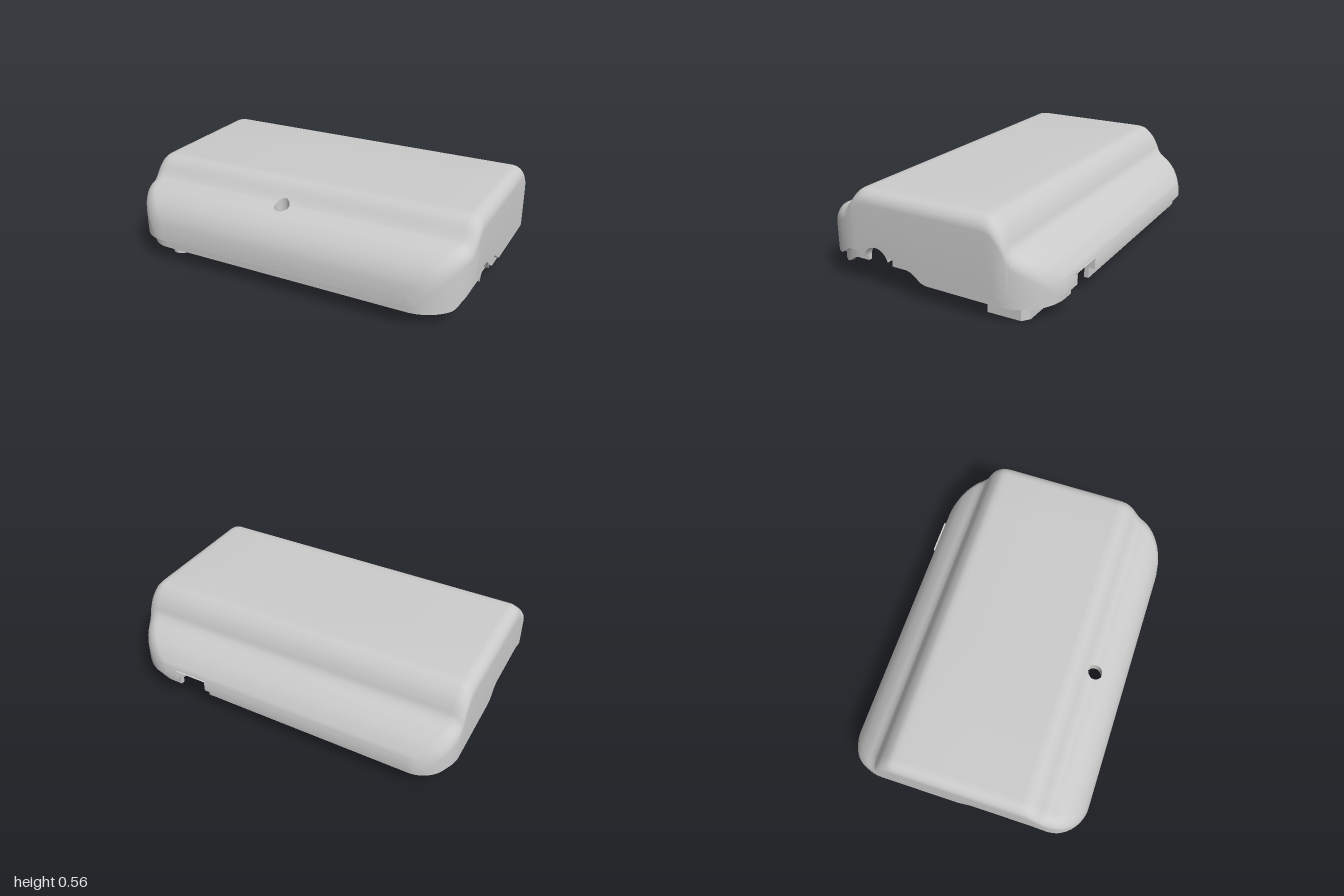
import * as THREE from 'three';
import { toCreasedNormals } from 'three/addons/utils/BufferGeometryUtils.js';

const D = 0.705, EPS = 1e-4, WALL = 0.06;
const HOLE = { x: -0.09, z: 0.51, r: 0.042, s: 0.055 };   // round opening in the front shoulder
const NOTCH = { x0: 0.46, x1: 0.66, y: 0.21 };            // connector notch in the back wall
const mat = new THREE.MeshStandardMaterial({ color: 0xcccccc, side: THREE.DoubleSide });

// piecewise linear lookup in a list of [position, value] sorted by position
function lerpTable(t, p) {
  if (p <= t[0][0]) return t[0][1];
  for (let i = 1; i < t.length; i++) if (p <= t[i][0]) {
    const [a, va] = t[i - 1], [b, vb] = t[i];
    return va + (vb - va) * (p - a) / Math.max(b - a, 1e-9);
  }
  return t[t.length - 1][1];
}

// lower edge of each end wall, as [z, y]
const EDGE_R = [[0, 0.15], [0.03, 0.158], [0.09, 0.202], [0.12, 0.21], [0.45, 0.21], [0.48, 0.202], [0.55, 0.158], [0.58, 0.15]];
const EDGE_L = [[-0.04, 0.15], [-0.01, 0.158], [0.05, 0.21], [0.08, 0.22], [0.08 + EPS, 0.22], [0.42, 0.22], [0.42 + EPS, 0.22], [0.5, 0.202], [0.58, 0.15]];
function baseY(side, z) {
  const d = Math.abs(z - 0.29);
  if (side > 0 && d <= 0.08) return 0.17 + Math.sqrt(0.0064 - d * d);
  return lerpTable(side > 0 ? EDGE_R : EDGE_L, z);
}
const KEYS = [...EDGE_R, ...EDGE_L].map(p => p[0]);
for (let i = 0; i <= 16; i++) KEYS.push(0.29 - 0.08 * Math.cos(i * Math.PI / 16));
KEYS.push(0.21 - EPS, 0.37 + EPS);

// plan outline: rounded rectangle with larger corners on the +x end
const cornerR = side => (side > 0 ? 0.28 : 0.21);
function halfWidth(side, z, inset) {
  const R = cornerR(side) - inset, dz = Math.abs(z) - (D - inset - R);
  return 1 - inset - (dz <= 0 ? 0 : R - Math.sqrt(Math.max(0, R * R - dz * dz)));
}

// side profile from front to back, as (z, y)
function makeProfile() {
  const front = [[D, 0.15], [0.7, 0.21], [0.685, 0.28], [0.65, 0.345], [0.6, 0.395], [0.55, 0.425], [0.5, 0.44],
    [0.47, 0.467], [0.43, 0.517], [0.39, 0.547], [0.35, 0.555]];
  const back = [[-0.35, 0.555], [-0.4, 0.545], [-0.45, 0.5], [-0.48, 0.45], [-0.5, 0.405], [-0.53, 0.375],
    [-0.58, 0.345], [-0.64, 0.295], [-0.685, 0.235], [-0.695, 0.21], [-0.702, 0.18], [-D, 0.15]];
  const pts = [];
  for (const list of [front, back]) {
    const c = new THREE.SplineCurve(list.map(p => new THREE.Vector2(...p)));
    pts.push(...c.getPoints(4 * (list.length - 1)));
  }
  return pts;
}
function offsetProfile(pts, t) {
  return pts.map((p, i) => {
    const a = pts[Math.max(i - 1, 0)], b = pts[Math.min(i + 1, pts.length - 1)];
    const d = b.clone().sub(a).normalize();
    return new THREE.Vector2(p.x - d.y * t, Math.max(0.15, p.y - Math.abs(d.x) * t));
  });
}
const OUTER = makeProfile(), INNER = offsetProfile(OUTER, WALL);
const heightAt = prof => {
  const t = prof.map(p => [p.x, p.y]).sort((a, b) => a[0] - b[0]);
  return z => lerpTable(t, z);
};
const hOuter = heightAt(OUTER), hInner = heightAt(INNER);

// grid of points to a smooth, creased geometry
function gridMesh(name, rows, { flip = false, skip = () => false, crease = 0.55 } = {}) {
  const v = [], tri = (a, b, c) => {
    const n = b.clone().sub(a).cross(c.clone().sub(a));
    if (n.length() > 1e-10) for (const p of flip ? [a, c, b] : [a, b, c]) v.push(p.x, p.y, p.z);
  };
  for (let i = 0; i + 1 < rows.length; i++) for (let j = 0; j + 1 < rows[i].length; j++) {
    const a = rows[i][j], b = rows[i][j + 1], c = rows[i + 1][j + 1], d = rows[i + 1][j];
    if (skip([a, b, c, d])) continue;
    tri(a, b, c); tri(a, c, d);
  }
  const g = new THREE.BufferGeometry();
  g.setAttribute('position', new THREE.Float32BufferAttribute(v, 3));
  const m = new THREE.Mesh(toCreasedNormals(g, crease), mat);
  m.name = name;
  return m;
}

// one skin of the shell: arched sections lofted from front to back
function skin(name, prof, inset, fillet, flip) {
  const h = heightAt(prof), rowsZ = prof.map(p => [p.x, p.y]), end = prof[0].x;
  for (const z of [...KEYS, HOLE.z - HOLE.s, HOLE.z + HOLE.s]) if (Math.abs(z) < end) rowsZ.push([z, h(z)]);
  rowsZ.sort((a, b) => b[0] - a[0]);
  const cols = [HOLE.x - HOLE.s, HOLE.x + HOLE.s, NOTCH.x0, NOTCH.x1];
  const rows = rowsZ.map(([z, y]) => {
    const half = side => {
      const w = halfWidth(side, z, inset), b = Math.min(baseY(side, z), y), r = Math.min(fillet, y - b);
      const out = [new THREE.Vector3(side * w, b, z)];
      for (let k = 0; k <= 7; k++) {
        const a = k / 7 * Math.PI / 2;
        out.push(new THREE.Vector3(side * (w - r + r * Math.cos(a)), y - r + r * Math.sin(a), z));
      }
      return out;
    };
    return [...half(-1), ...cols.map(x => new THREE.Vector3(x, y, z)), ...half(1).reverse()];
  });
  const within = (q, x0, x1) => q.every(p => p.x > x0 - EPS && p.x < x1 + EPS);
  const skip = q => (within(q, HOLE.x - HOLE.s, HOLE.x + HOLE.s) && q.every(p => Math.abs(p.z - HOLE.z) < HOLE.s + EPS))
    || (within(q, NOTCH.x0, NOTCH.x1) && q.every(p => p.z < -0.6 && p.y < NOTCH.y + 0.002));
  return gridMesh(name, rows, { flip, skip });
}

// round hole: collars from the square cut-out to the circle, joined by a tube
function indicatorHole() {
  const ringAt = (square, h) => Array.from({ length: 41 }, (_, i) => {
    const a = i / 40 * Math.PI * 2, c = Math.cos(a), s = Math.sin(a);
    const k = square ? HOLE.s / Math.max(Math.abs(c), Math.abs(s)) : HOLE.r;
    return new THREE.Vector3(HOLE.x + k * c, h(HOLE.z + k * s), HOLE.z + k * s);
  });
  return gridMesh('indicatorHole', [ringAt(true, hOuter), ringAt(false, hOuter), ringAt(false, hInner), ringAt(true, hInner)], { flip: true });
}

// stepped rim and lip swept around the plan outline
function rimLip() {
  const pts = [], add = (x, z, nx, nz) => pts.push({ x, z, nx, nz });
  const corner = (sx, sz, a0) => {
    const R = cornerR(sx);
    for (let k = 0; k <= 16; k++) {
      const a = a0 + k / 16 * Math.PI / 2, c = Math.cos(a), s = Math.sin(a);
      add(sx * (1 - R) + R * c, sz * (D - R) + R * s, c, s);
    }
  };
  const side = (s, dir) => KEYS.filter(z => Math.abs(z) < D - cornerR(s)).sort((a, b) => dir * (a - b)).forEach(z => add(s, z, s, 0));
  side(1, 1); corner(1, 1, 0); corner(-1, 1, Math.PI / 2);
  side(-1, -1); corner(-1, -1, Math.PI);
  for (const x of [NOTCH.x0 - EPS, NOTCH.x0, NOTCH.x1, NOTCH.x1 + EPS]) add(x, -D, 0, -1);
  corner(1, -1, Math.PI * 1.5);
  pts.push(pts[0]);
  const rows = pts.map(p => {
    const notch = p.nz < -0.99 && p.x > NOTCH.x0 - EPS / 2 && p.x < NOTCH.x1 + EPS / 2;
    const b = notch ? NOTCH.y : baseY(Math.sign(p.x), p.z);
    const open = notch || (p.x > 0.9 && Math.abs(p.z - 0.29) < 0.08 + EPS / 2)
      || (p.x < -0.9 && p.z > 0.08 + EPS / 2 && p.z < 0.42 + EPS / 2);
    const low = open ? b : b - 0.06;
    return [[0, b], [0.035, b], [0.035, low], [WALL, low], [WALL, b + 0.005]]
      .map(([t, y]) => new THREE.Vector3(p.x - p.nx * t, y, p.z - p.nz * t));
  });
  return gridMesh('rimLip', rows);
}

function box(name, x0, x1, y0, y1, z0, z1) {
  const m = new THREE.Mesh(new THREE.BoxGeometry(x1 - x0, y1 - y0, z1 - z0), mat);
  m.position.set((x0 + x1) / 2, (y0 + y1) / 2, (z0 + z1) / 2);
  m.name = name;
  return m;
}

// mounting boss that grows from the ceiling, with a locating pin
function mount(x, z, pinBottom) {
  const g = new THREE.Group();
  g.name = 'mountingPost';
  const cyl = (name, r, y0, y1, follow) => {
    const geo = new THREE.CylinderGeometry(r, r, y1 - y0, 32).translate(x, (y0 + y1) / 2, z);
    const p = geo.attributes.position;
    if (follow) for (let i = 0; i < p.count; i++) if (p.getY(i) > y1 - EPS) p.setY(i, hOuter(p.getZ(i)) - 0.04);
    const m = new THREE.Mesh(toCreasedNormals(geo, 0.6), mat);
    m.name = name;
    g.add(m);
  };
  cyl('boss', 0.1, 0.18, 0.4, true);
  cyl('pin', 0.054, pinBottom, 0.2, false);
  return g;
}

export function createModel() {
  const model = new THREE.Group();
  model.name = 'enclosureCover';
  model.add(skin('outerShell', OUTER, 0, 0.075, false), skin('innerShell', INNER, WALL, 0.03, true), indicatorHole(), rimLip());

  for (const z of [0.515, -0.51]) model.add(mount(-0.805, z, 0), mount(0.215, z, 0.085));

  // facing rails that hold a small board behind the back notch
  const holder = new THREE.Group();
  holder.name = 'boardHolder';
  holder.add(box('rail', 0.325, 0.36, 0.015, 0.31, -0.54, -0.32), box('railHook', 0.35, 0.388, 0.02, 0.055, -0.54, -0.32));
  const plan = new THREE.Shape([[0.745, 0.32], [0.885, 0.32], [0.915, 0.34], [0.91, 0.53], [0.87, 0.56], [0.745, 0.56]].map(p => new THREE.Vector2(...p)));
  const block = new THREE.Mesh(new THREE.ExtrudeGeometry(plan, { depth: 0.29, bevelEnabled: false }), mat);
  block.rotation.x = -Math.PI / 2;
  block.position.y = 0.015;
  block.name = 'railBlock';
  holder.add(block, box('railHook', 0.72, 0.75, 0.02, 0.055, -0.54, -0.32));
  model.add(holder);

  // small stop on the end wall
  model.add(box('wallStop', 0.84, 0.95, 0.11, 0.2, -0.07, 0.0));
  return model;
}
